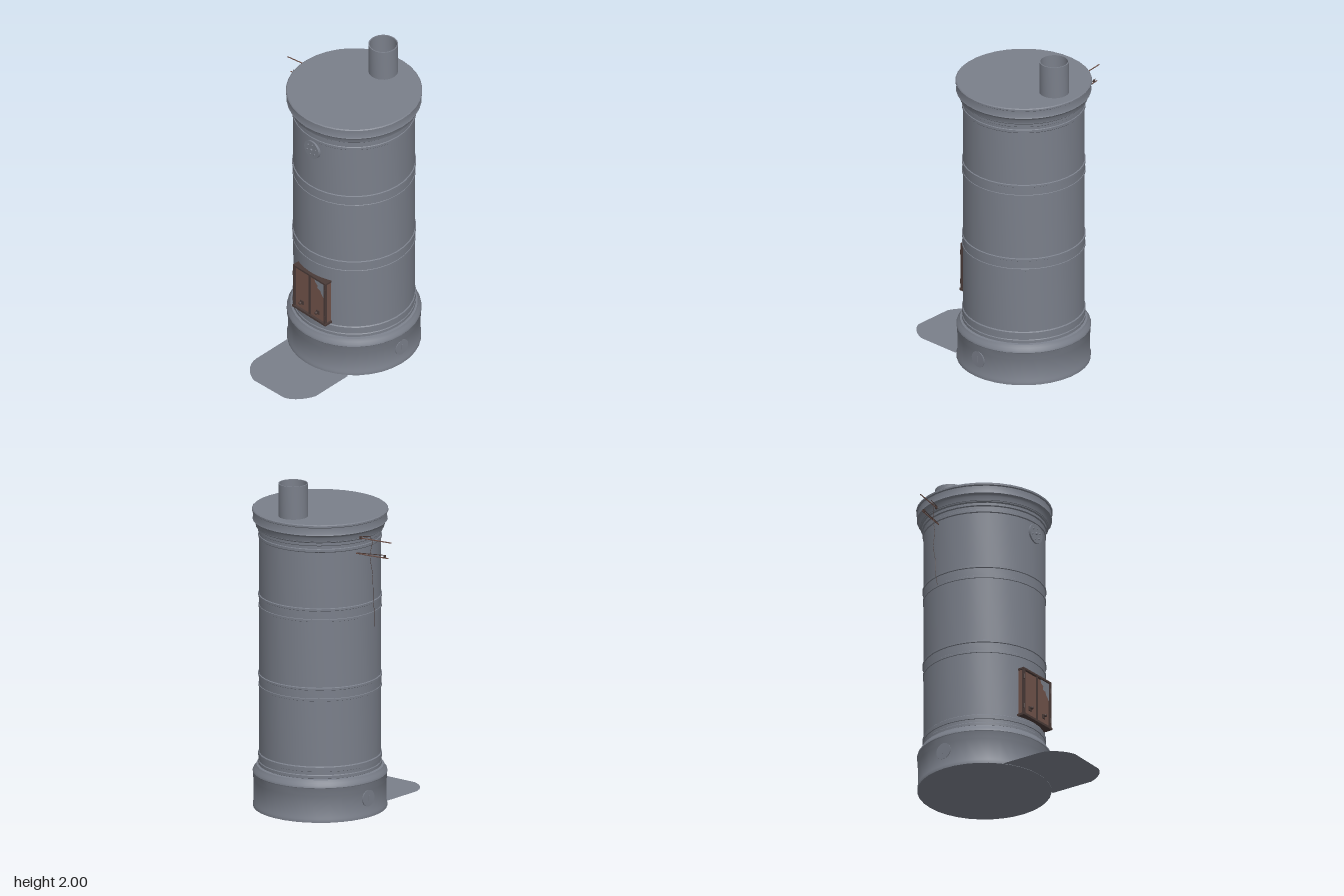
import * as THREE from 'three';
import { toCreasedNormals } from 'three/addons/utils/BufferGeometryUtils.js';

const mat = (name, color, side = THREE.FrontSide) => {
  const m = new THREE.MeshStandardMaterial({ color, side });
  m.name = name;
  return m;
};
const V = (x, y, z) => new THREE.Vector3(x, y, z);

export function createModel() {
  const iron = mat('grey iron', 0x7a7f8a);
  const sheet = mat('grey floor sheet', 0x7a7f8a, THREE.DoubleSide);
  const rust = mat('rust brown', 0x71534a);
  const dark = mat('dark rusted iron', 0x4a3b38);

  const group = new THREE.Group();
  group.name = 'stove';

  const add = (name, geo, material, x = 0, y = 0, z = 0, parent = group) => {
    const mesh = new THREE.Mesh(geo, material);
    mesh.name = name;
    mesh.position.set(x, y, z);
    parent.add(mesh);
    return mesh;
  };
  const box = (name, m, w, h, d, x, y, z) => add(name, new THREE.BoxGeometry(w, h, d), m, x, y, z);
  const lathe = (points, segments) => toCreasedNormals(
    new THREE.LatheGeometry(points.map(([r, y]) => new THREE.Vector2(r, y)), segments), 0.6);
  const tube = (name, points, r, m, segments = 8) =>
    add(name, new THREE.TubeGeometry(new THREE.CatmullRomCurve3(points), segments, r, 5), m);

  const CX = 0.094, CZ = -0.164;

  // Plinth with its sloping shoulder
  add('plinth', lathe([
    [0, 0], [0.392, 0], [0.392, 0.02], [0.387, 0.03], [0.387, 0.16], [0.391, 0.17], [0.391, 0.205],
    [0.394, 0.21], [0.391, 0.222], [0.38, 0.235], [0.372, 0.252], [0.345, 0.258],
  ], 36), iron, CX, 0, CZ);

  // Drum with its stepped rings
  const band = (y) => [
    [0.356, y - 0.045], [0.36, y - 0.043], [0.36, y - 0.03], [0.357, y - 0.028],
    [0.357, y + 0.02], [0.362, y + 0.023], [0.362, y + 0.035], [0.356, y + 0.038],
  ];
  add('drum', lathe([
    [0.345, 0.25], [0.361, 0.258], [0.361, 0.275], [0.357, 0.279], [0.357, 0.298],
    [0.361, 0.3], [0.361, 0.325], [0.355, 0.33],
    ...band(0.77), ...band(1.25),
    [0.356, 1.625], [0.361, 1.63], [0.361, 1.645], [0.357, 1.648], [0.357, 1.665],
    [0.364, 1.67], [0.364, 1.685], [0.372, 1.692], [0.372, 1.705],
  ], 36), iron, CX, 0, CZ);

  // Overhanging cornice and flat lid
  add('lid', lathe([
    [0.36, 1.69], [0.376, 1.697], [0.381, 1.72], [0.387, 1.73], [0.395, 1.737], [0.391, 1.745],
    [0.391, 1.782], [0.398, 1.787], [0.398, 1.797], [0.392, 1.802], [0, 1.802],
  ], 36), iron, CX, 0, CZ);

  // Open flue pipe
  add('fluePipe', lathe([
    [0.087, 1.795], [0.087, 2], [0.08, 2], [0.08, 1.84], [0.065, 1.82], [0.035, 1.809], [0, 1.806],
  ], 28), iron, 0.087, 0, -0.408);

  // Round fittings face +z in their own group
  const roundPlate = (name, r, depth) => {
    const g = new THREE.Group();
    g.name = name;
    add('disc', new THREE.CylinderGeometry(r, r, depth, 24).rotateX(Math.PI / 2), iron, 0, 0, 0, g);
    group.add(g);
    return g;
  };

  // Air vent high on the front
  const vent = roundPlate('airVent', 0.06, 0.02);
  vent.position.set(0.11, 1.56, 0.19);
  add('knob', new THREE.SphereGeometry(0.009, 10, 8), iron, 0, 0, 0.01, vent);
  for (let i = 0; i < 6; i++) {
    const a = i * Math.PI / 3 + 0.3;
    add('ventStud', new THREE.SphereGeometry(0.006, 8, 6), iron,
      0.036 * Math.cos(a), 0.036 * Math.sin(a), 0.009, vent);
  }

  // Cleaning covers on both sides of the plinth
  for (const s of [1, -1]) {
    const cover = roundPlate('cleaningCover', 0.05, 0.012);
    cover.position.set(CX + s * 0.383, 0.115, -0.175);
    cover.rotation.y = s * Math.PI / 2;
    add('pull', new THREE.BoxGeometry(0.006, 0.035, 0.005), iron, 0, 0, 0.007, cover);
  }

  // Double fire door
  const DX = 0.105;
  box('doorBacking', rust, 0.258, 0.29, 0.045, DX, 0.495, 0.175);
  for (const s of [1, -1]) {
    box('doorLeaf', rust, 0.114, 0.272, 0.012, DX + s * 0.063, 0.495, 0.199);
    box('doorSideBar', dark, 0.012, 0.29, 0.018, DX + s * 0.127, 0.495, 0.206);
    box('doorLatchPlate', dark, 0.026, 0.026, 0.006, DX + s * 0.066, 0.405, 0.207);
    add('doorKnob', new THREE.SphereGeometry(0.01, 10, 8), dark, DX + s * 0.066, 0.408, 0.222);
    for (const y of [0.4, 0.59]) {
      add('hinge', new THREE.CylinderGeometry(0.006, 0.006, 0.03, 8), dark, DX + s * 0.13, y, 0.212);
    }
  }
  box('doorTopBar', dark, 0.27, 0.012, 0.05, DX, 0.643, 0.188);
  box('doorBottomBar', dark, 0.276, 0.014, 0.055, DX, 0.35, 0.19);
  box('doorMiddleBar', dark, 0.014, 0.28, 0.02, DX, 0.495, 0.202);

  // Bare metal where the rust has worn off the door
  const worn = new THREE.Shape([
    [0.14, 0.635], [0.15, 0.61], [0.17, 0.6], [0.165, 0.578], [0.19, 0.572],
    [0.2, 0.55], [0.225, 0.525], [0.225, 0.635],
  ].map(([x, y]) => new THREE.Vector2(x, y)));
  add('wornPatch', new THREE.ShapeGeometry(worn), iron, 0, 0, 0.2065);

  // Flat floor sheet before the door
  const plan = new THREE.Shape();
  plan.moveTo(-0.145, -0.15);
  plan.lineTo(-0.138, -0.41);
  plan.bezierCurveTo(-0.13, -0.48, -0.07, -0.54, 0, -0.562);
  plan.lineTo(0.24, -0.553);
  plan.bezierCurveTo(0.3, -0.54, 0.35, -0.46, 0.362, -0.41);
  plan.lineTo(0.355, -0.14);
  add('floorSheet', new THREE.ShapeGeometry(plan, 8).rotateX(-Math.PI / 2), sheet, 0, 0.002, 0);

  // Damper rods sticking out of the side, with small cross pins
  tube('upperRod', [V(-0.494, 1.7, -0.197), V(-0.25, 1.7, -0.238)], 0.0035, rust, 2);
  tube('lowerRod', [V(-0.472, 1.603, -0.2), V(-0.25, 1.603, -0.238)], 0.0035, rust, 2);
  tube('upperCatch', [V(-0.355, 1.718, -0.22), V(-0.26, 1.708, -0.236)], 0.0025, dark, 2);
  tube('lowerCatch', [V(-0.455, 1.62, -0.203), V(-0.26, 1.606, -0.236)], 0.0025, dark, 2);
  for (const [x, y, z] of [[-0.445, 1.611, -0.203], [-0.285, 1.7, -0.232]]) {
    box('rodPin', dark, 0.01, 0.016, 0.01, x, y, z);
  }

  // Wire hanging from the rods
  tube('hangingWire', [
    V(-0.345, 1.72, -0.225), V(-0.35, 1.69, -0.205), V(-0.34, 1.6, -0.215), V(-0.345, 1.5, -0.2),
    V(-0.355, 1.42, -0.205), V(-0.348, 1.34, -0.195), V(-0.352, 1.25, -0.19), V(-0.343, 1.165, -0.182),
  ], 0.0013, dark, 40);

  return group;
}
